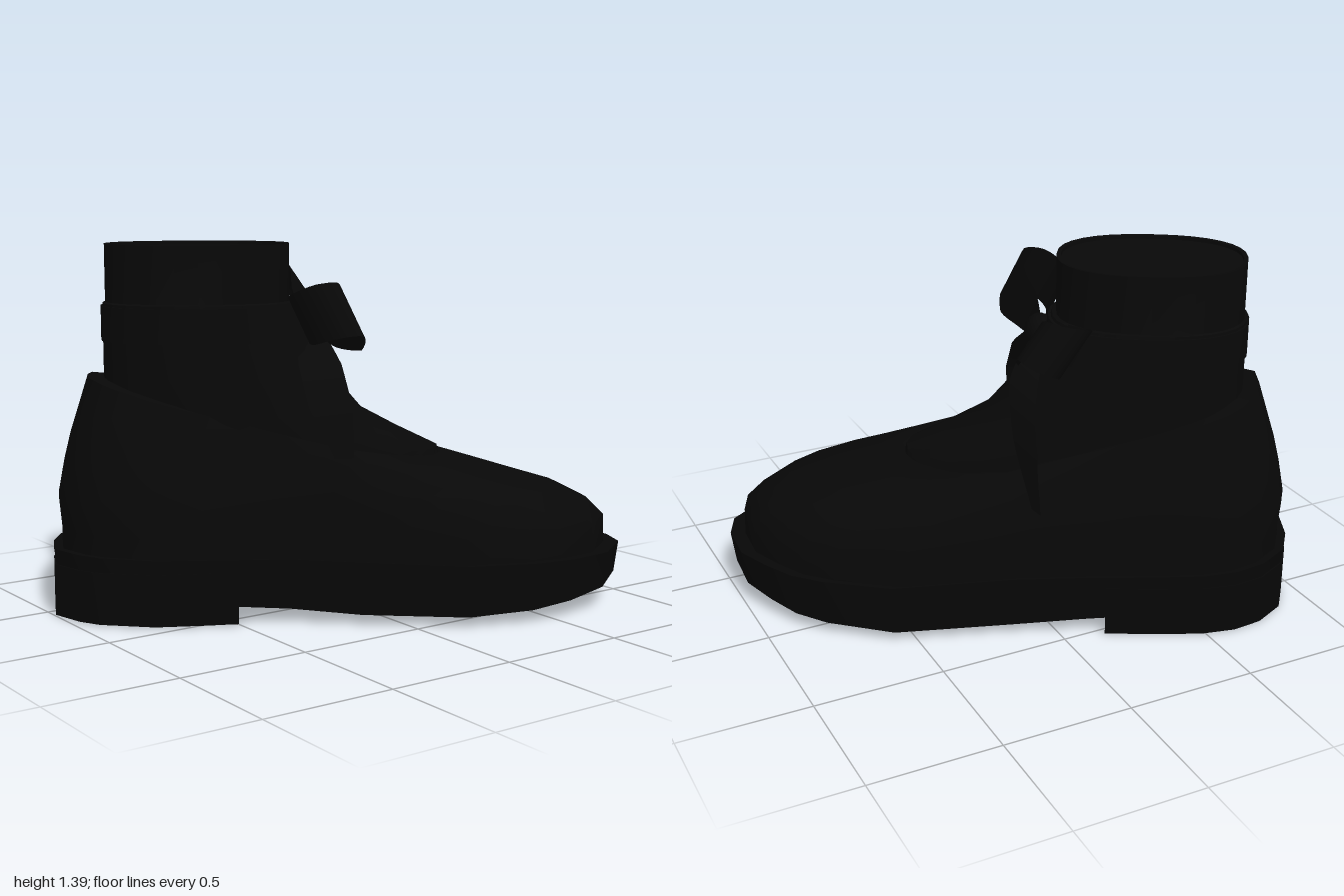
import * as THREE from 'three';
import { toCreasedNormals } from 'three/addons/utils/BufferGeometryUtils.js';

const mat = (name, color, extra = {}) => Object.assign(new THREE.MeshStandardMaterial({ color, ...extra }), { name });

// Sole outline: x runs heel to toe, z across
const OUTLINE = [
  [-1.081, .128], [-1.094, -.015], [-1.075, -.142], [-.992, -.259], [-.893, -.327], [-.766, -.366],
  [-.556, -.383], [-.342, -.392], [-.056, -.418], [.391, -.503], [.658, -.461], [.786, -.419],
  [.9, -.341], [1.011, -.249], [1.09, -.092], [1.104, .032], [1.008, .226], [.854, .339],
  [.696, .406], [.444, .448], [.054, .373], [-.209, .317], [-.513, .331], [-.705, .338],
  [-.91, .283], [-.985, .234],
];
const HEEL_FRONT = -.4, MID = -.025;

// Loops for lofting, as [0..1 from back to front, signed width]
const FOOT_LOOP = OUTLINE.map(([x, z]) => [THREE.MathUtils.clamp((x + 1.094) / 2.198, 0, 1), z - MID]);
const OVAL_LOOP = Array.from({ length: 32 }, (_, j) => {
  const a = (j / 32) * Math.PI * 2;
  const round = (v) => Math.sign(v) * Math.abs(v) ** .85;
  return [(round(Math.cos(a)) + 1) / 2, round(Math.sin(a))];
});

// Slab over an outline, with bottom and top heights given along its length
function slab(points, bottom, top, inset = 1) {
  const shape = new THREE.Shape(points.map(([x, z]) => new THREE.Vector2(x, -z)));
  const g = new THREE.ExtrudeGeometry(shape, { depth: 1, bevelEnabled: false });
  g.rotateX(-Math.PI / 2);
  const p = g.attributes.position;
  for (let i = 0; i < p.count; i++) {
    const x = p.getX(i), low = p.getY(i) < .5, s = low ? inset : 1;
    p.setXYZ(i, x * s, low ? bottom(x) : top(x), p.getZ(i) * s);
  }
  return toCreasedNormals(g, .6);
}

// Skin over scaled copies of a loop: [yBack, yFront, back, front, widthBack, widthFront]
function loft(loop, levels, capped = false) {
  const pos = [], idx = [], n = loop.length;
  for (const [yB, yF, b, f, wB, wF] of levels) {
    for (const [t, side] of loop) {
      pos.push(b + (f - b) * t, yF + (yB - yF) * (1 - t) ** 1.4, MID + (wB + (wF - wB) * t) * side);
    }
  }
  for (let i = 0; i < levels.length - 1; i++) {
    for (let j = 0; j < n; j++) {
      const a = i * n + j, b = i * n + (j + 1) % n;
      idx.push(a, a + n, b, b, a + n, b + n);
    }
  }
  if (capped) {
    const [y, , b, f] = levels.at(-1), base = (levels.length - 1) * n;
    pos.push((b + f) / 2, y, MID);
    for (let j = 0; j < n; j++) idx.push(pos.length / 3 - 1, base + (j + 1) % n, base + j);
  }
  const g = new THREE.BufferGeometry();
  g.setAttribute('position', new THREE.Float32BufferAttribute(pos, 3));
  g.setIndex(idx);
  return toCreasedNormals(g, .8);
}

// Flat ribbon along a path; each point is [x, y, z, halfWidth]
function ribbon(points, across, steps) {
  const path = new THREE.CatmullRomCurve3(points.map(([x, y, z]) => new THREE.Vector3(x, y, z)));
  const dir = new THREE.Vector3(...across).normalize();
  const pos = [], idx = [];
  for (let i = 0; i <= steps; i++) {
    const t = i / steps, s = t * (points.length - 1);
    const k = Math.min(Math.floor(s), points.length - 2);
    const w = THREE.MathUtils.lerp(points[k][3], points[k + 1][3], s - k);
    const c = path.getPoint(t);
    for (const side of [-1, 1]) pos.push(c.x + dir.x * w * side, c.y + dir.y * w * side, c.z + dir.z * w * side);
    if (i < steps) idx.push(2 * i, 2 * i + 1, 2 * i + 2, 2 * i + 1, 2 * i + 3, 2 * i + 2);
  }
  const g = new THREE.BufferGeometry();
  g.setAttribute('position', new THREE.Float32BufferAttribute(pos, 3));
  g.setIndex(idx);
  g.computeVertexNormals();
  return g;
}

export function createModel() {
  const leather = mat('black leather', 0x080808);
  const rubber = mat('black rubber', 0x070707);
  const satin = mat('black ribbon', 0x080808, { side: THREE.DoubleSide });
  const brown = mat('dark brown', 0x1c1313);

  const model = new THREE.Group();
  model.name = 'boot';
  const foot = new THREE.Group();
  foot.name = 'footwear';
  foot.rotation.y = -Math.PI / 6;
  const bow = new THREE.Group();
  bow.name = 'bow';
  model.add(foot, bow);
  const add = (parent, name, geometry, material) => {
    const m = new THREE.Mesh(geometry, material);
    m.name = name;
    parent.add(m);
    return m;
  };

  // Sole with a raised toe, and the heel block under it
  const soleTop = (x) => .24 - .018 * x;
  const soleBottom = (x) => .04 + .06 * Math.max(0, (x - .5) / .6) ** 1.6 + .03 * Math.max(0, -x / .4);
  add(foot, 'sole', slab(OUTLINE, soleBottom, soleTop, .985), rubber);
  const front = OUTLINE.findIndex(([x]) => x > HEEL_FRONT);
  const last = OUTLINE.findLastIndex(([x]) => x > HEEL_FRONT);
  const heel = [...OUTLINE.slice(0, front), [HEEL_FRONT, -.39], [HEEL_FRONT, .322], ...OUTLINE.slice(last + 1)];
  add(foot, 'heel', slab(heel, () => .005, () => .2), rubber);

  // Brown strip under the front edge of the heel
  const strip = add(foot, 'heelStrip', new THREE.BoxGeometry(.07, .008, .68), brown);
  strip.position.set(HEEL_FRONT - .037, .004, -.034);

  // Shoe upper, its collar dropping from the heel to the instep
  add(foot, 'upper', loft(FOOT_LOOP, [
    [.2, .2, -1.06, 1.045, .96, .97],
    [.33, .33, -1.06, 1.04, .97, .97],
    [.45, .4, -1.07, .97, .98, .93],
    [.58, .455, -1.045, .86, .94, .88],
    [.68, .5, -1.02, .71, .9, .8],
    [.79, .555, -.985, .53, .84, .72],
    [.9, .59, -.95, .41, .77, .64],
    [.89, .58, -.88, .37, .7, .56],
  ]), leather);

  // Ankle shaft and tongue in one skin, with a closed top
  const ankle = [
    [.56, -.88, .4, .25, .25], [.61, -.885, .385, .255, .25], [.68, -.89, .24, .255, .255],
    [.76, -.89, .09, .255, .26], [.9, -.89, -.03, .255, .26], [1.08, -.89, -.13, .255, .255],
    [1.17, -.89, -.17, .255, .255], [1.175, -.88, -.185, .25, .25], [1.39, -.88, -.185, .25, .25],
    [1.388, -.865, -.2, .24, .24], [1.375, -.865, -.2, .24, .24],
  ].map(([y, ...rest]) => [y, y, ...rest]);
  add(foot, 'ankleShaft', loft(OVAL_LOOP, ankle, true), leather);

  // Ribbon band round the ankle
  add(foot, 'ankleBand', loft(OVAL_LOOP, [
    [1.03, 1.03, -.885, -.11, .25, .25], [1.03, 1.03, -.897, -.1, .262, .262],
    [1.16, 1.16, -.897, -.155, .262, .262], [1.16, 1.16, -.885, -.17, .25, .25],
  ]), leather);

  // Knot, two loops and two hanging tails
  const knot = add(bow, 'knot', new THREE.SphereGeometry(.07, 10, 8), leather);
  knot.position.set(-.09, 1.09, -.1);
  knot.scale.set(.8, 1, 1);
  add(bow, 'rightLoop', ribbon([
    [-.1, 1.1, -.08, .05], [-.24, 1.11, .09, .08], [-.32, 1.13, .23, .1], [-.285, 1.165, .34, .105],
    [-.21, 1.17, .37, .105], [-.165, 1.12, .29, .115], [-.15, 1.09, .13, .085], [-.09, 1.1, -.06, .05],
  ], [-.25, .85, -.35], 28), satin);
  add(bow, 'leftLoop', ribbon([
    [-.09, 1.1, -.1, .05], [-.06, 1.12, -.32, .08], [-.03, 1.15, -.48, .1], [.03, 1.19, -.58, .1],
    [.12, 1.225, -.575, .09], [.145, 1.23, -.49, .08], [.06, 1.14, -.33, .085], [-.07, 1.1, -.12, .05],
  ], [-.62, .78, 0], 28), satin);
  add(bow, 'rightTail', ribbon([
    [-.1, 1.07, -.05, .045], [-.17, .95, .12, .08], [-.2, .8, .235, .08], [-.18, .62, .29, .035],
  ], [.87, 0, .5], 12), satin);
  add(bow, 'leftTail', ribbon([
    [-.08, 1.07, -.12, .045], [.06, .95, -.26, .08], [.11, .77, -.38, .07], [.11, .55, -.47, .025],
  ], [.2, .1, .95], 12), satin);
  return model;
}
